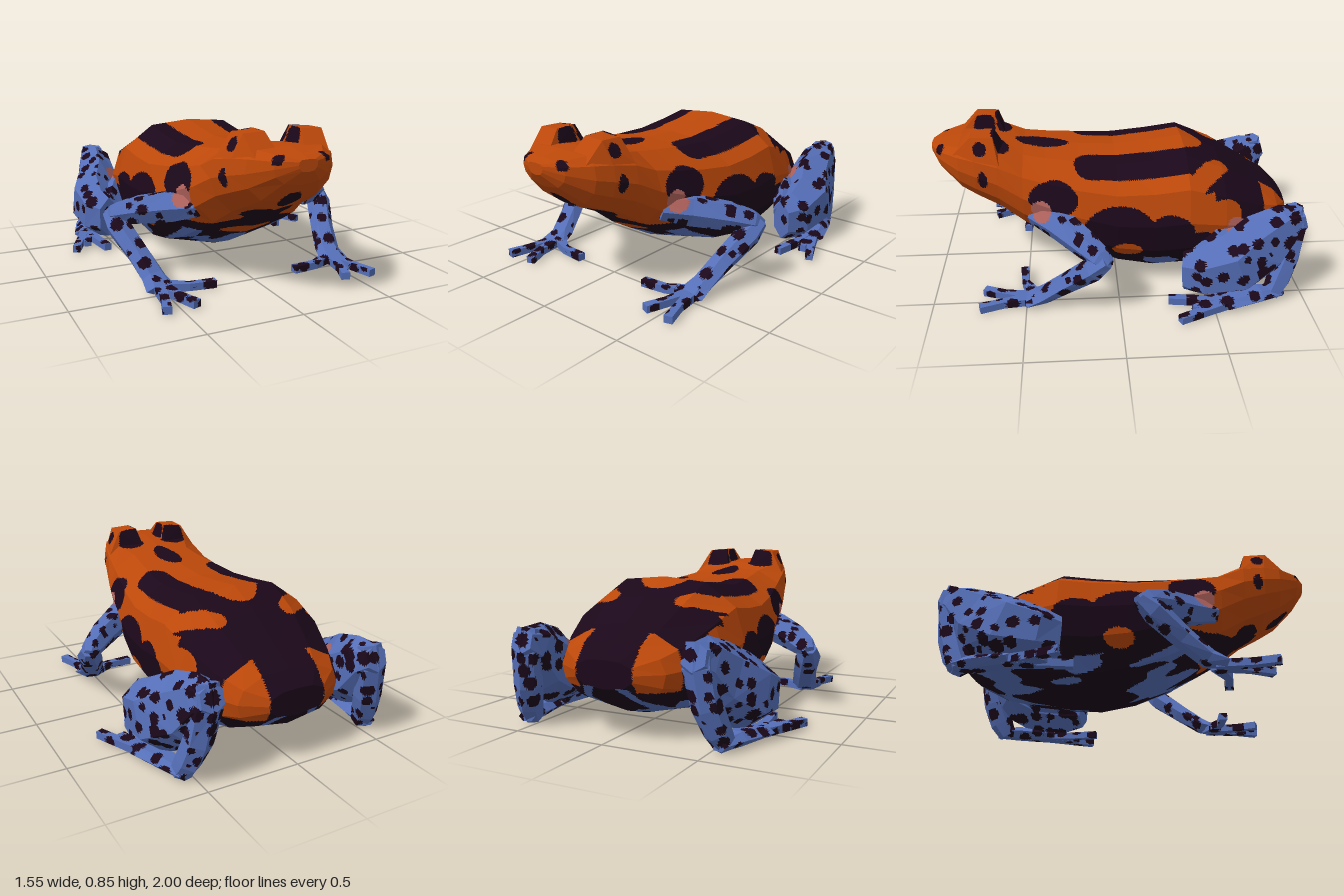
import * as THREE from 'three';
import { ConvexGeometry } from 'three/addons/geometries/ConvexGeometry.js';

const ORANGE = 0, DARK = 1, BLUE = 2, PINK = 3;
const V = (x, y, z) => new THREE.Vector3(x, y, z);

function makeMaterials() {
  const list = { orange: 0xbc480a, darkPurple: 0x1b081a, blue: 0x556fb8, pink: 0xb0625c };
  return Object.entries(list).map(([name, hex]) => {
    const m = new THREE.MeshStandardMaterial({ color: hex });
    m.name = name;
    return m;
  });
}

// Triangles joining closed rings of equal size, with both ends capped
function loft(rings) {
  const tris = [], n = rings[0].length;
  for (let i = 0; i < rings.length - 1; i++) {
    for (let j = 0; j < n; j++) {
      const k = (j + 1) % n, a = rings[i], b = rings[i + 1];
      tris.push([a[j], a[k], b[k]], [a[j], b[k], b[j]]);
    }
  }
  const centre = (r) => r.reduce((s, p) => s.add(p), V(0, 0, 0)).divideScalar(n);
  const first = rings[0], last = rings[rings.length - 1], c0 = centre(first), c1 = centre(last);
  for (let j = 0; j < n; j++) {
    const k = (j + 1) % n;
    tris.push([c0, first[k], first[j]], [c1, last[j], last[k]]);
  }
  return tris;
}

// Limb along [x, y, z, radius along ref, radius across]
function limb(path, ref, sides = 6) {
  const pts = path.map((p) => V(p[0], p[1], p[2]));
  return loft(pts.map((p, i) => {
    const t = pts[Math.min(i + 1, pts.length - 1)].clone().sub(pts[Math.max(i - 1, 0)]).normalize();
    const a = ref.clone().addScaledVector(t, -ref.dot(t)).normalize();
    const b = t.clone().cross(a);
    return Array.from({ length: sides }, (_, j) => {
      const ang = ((j + 0.5) / sides) * Math.PI * 2;
      return p.clone().addScaledVector(a, Math.cos(ang) * path[i][3]).addScaledVector(b, Math.sin(ang) * path[i][4]);
    });
  }));
}

const mirror = (tris) => tris.map((t) => [t[0], t[2], t[1]].map((p) => V(-p.x, p.y, p.z)));

// Split each flat facet finely and sort the pieces into one group per colour
function paint(tris, colourAt, step) {
  const bins = [[], [], [], []];
  for (const [A, B, C] of tris) {
    const longest = Math.max(A.distanceTo(B), B.distanceTo(C), C.distanceTo(A));
    const n = Math.max(1, Math.ceil(longest / step));
    const at = (i, j) => A.clone().multiplyScalar(n - i - j).addScaledVector(B, i).addScaledVector(C, j).divideScalar(n);
    const emit = (p, q, r) => {
      const c = p.clone().add(q).add(r).divideScalar(3);
      for (const v of [p, q, r]) bins[colourAt(c.x, c.y, c.z)].push(v.x, v.y, v.z);
    };
    for (let i = 0; i < n; i++) {
      for (let j = 0; j < n - i; j++) {
        emit(at(i, j), at(i + 1, j), at(i, j + 1));
        if (i + j < n - 1) emit(at(i + 1, j), at(i + 1, j + 1), at(i, j + 1));
      }
    }
  }
  const geo = new THREE.BufferGeometry();
  geo.setAttribute('position', new THREE.Float32BufferAttribute(bins.flat(), 3));
  let start = 0;
  bins.forEach((b, m) => {
    if (b.length) geo.addGroup(start, b.length / 3, m);
    start += b.length / 3;
  });
  geo.computeVertexNormals();
  return geo;
}

const inOval = (u, v, cu, cv, ru, rv) => ((u - cu) / ru) ** 2 + ((v - cv) / rv) ** 2 < 1;
const nearLine = (u, v, u0, v0, u1, v1, r) => {
  const du = u1 - u0, dv = v1 - v0;
  const t = Math.min(1, Math.max(0, ((u - u0) * du + (v - v0) * dv) / (du * du + dv * dv)));
  return Math.hypot(u - u0 - t * du, v - v0 - t * dv) < r;
};
// Pale joints at shoulder and hip
const atJoint = (x, y, z) => Math.hypot(Math.abs(x) - 0.38, y - 0.48, z - 0.41) < 0.06
  || Math.hypot(Math.abs(x) - 0.42, y - 0.37, z + 0.64) < 0.06;

// Markings of body and head
function bodyColour(x, y, z) {
  const ax = Math.abs(x);
  if (z > 0.55) {
    const spot = (ax > 0.18 && (inOval(z, y, 0.72, 0.79, 0.035, 0.035) || inOval(z, y, 0.71, 0.63, 0.024, 0.05)))
      || (y > 0.725 && inOval(ax, z, 0.125, 0.945, 0.034, 0.022))
      || (y > 0.7 && inOval(ax, z, 0.145, 0.62, 0.08, 0.045))
      || (y > 0.765 && inOval(ax, z, 0.08, 0.72, 0.025, 0.06))
      || (y < 0.6 && inOval(ax, y, 0, 0.525, 0.055, 0.05))
      || (y < 0.45 && inOval(ax, y, 0.07, 0.42, 0.075, 0.035))
      || (y < 0.43 && ax < 0.11) || (y < 0.37 && ax < 0.11 + (0.37 - y) * 4);
    return spot ? DARK : ORANGE;
  }
  if (atJoint(x, y, z)) return PINK;
  if (inOval(z, y, -0.05, 0.25, 0.08, 0.05)) return ORANGE;
  // rump patches
  if (ax > 0.155 && z < -0.81 && y > 0.25) return ORANGE;
  // chest, mottled belly and lower flank
  if (z > 0.2 && inOval(ax, y, 0, 0.27, 0.15, 0.035)) return ORANGE;
  if (y < 0.27 && z < 0.42) {
    const n = Math.sin(17 * ax + 3 * z + 1) + Math.sin(15 * z - 5 * y) + 0.6 * Math.sin(29 * ax - 19 * z)
      + 0.6 * Math.sin(47 * ax + 38 * y);
    return y > 0.07 && ax < (z > 0 ? 0.31 : 0.37) && n > (z > 0 ? -0.2 : 0.2) ? BLUE : DARK;
  }
  if (z > 0.2 && y < 0.4) return y < 0.33 || (y < 0.37 && ax < 0.11 + (0.37 - y) * 4) ? DARK : ORANGE;
  // flank lobes and shoulder patch
  if (ax > 0.3 && inOval(z, y, -0.56, 0.43, 0.11, 0.1)) return ORANGE;
  if (y < 0.36 || (y < 0.56 && (inOval(z, y, -0.01, 0.36, 0.2, 0.16) || inOval(z, y, -0.28, 0.36, 0.13, 0.11)))) return DARK;
  if (ax > 0.25 && inOval(z, y, 0.34, 0.545, 0.13, 0.09)) return DARK;
  // crown spot and back stripes
  if (y > 0.6 && inOval(ax, z, 0, 0.4, 0.066, 0.145)) return DARK;
  if (nearLine(ax, z, 0.43, -0.37, 0.21, -0.57, 0.045)) return ORANGE;
  if (y > 0.57 && nearLine(ax, z, 0.24, -0.36, 0.225, 0.14, 0.092 - 0.03 * Math.max(0, z))) return DARK;
  if (ax < 0.14) return z < -0.5 + ax * ax * 6 ? DARK : ORANGE;
  if (ax < 0.33) return z < -0.38 ? DARK : ORANGE;
  return z < (y < 0.57 ? -0.52 : -0.45) ? DARK : ORANGE;
}

// Scattered round spots on the legs, one jittered spot per cell
const hash = (a, b, c, s) => {
  const h = Math.sin(a * 127.1 + b * 311.7 + c * 74.7 + s * 53.3) * 43758.5453;
  return h - Math.floor(h);
};
function legColour(x, y, z) {
  if (atJoint(x, y, z)) return PINK;
  const cell = 0.085, g = [x, y, z].map((v) => Math.floor(v / cell));
  for (let i = -1; i < 2; i++) for (let j = -1; j < 2; j++) for (let k = -1; k < 2; k++) {
    const a = g[0] + i, b = g[1] + j, c = g[2] + k;
    const p = [a, b, c].map((v, s) => (v + 0.2 + 0.6 * hash(a, b, c, s)) * cell);
    if (Math.hypot(x - p[0], y - p[1], z - p[2]) < 0.029 + 0.011 * hash(a, b, c, 3)) return DARK;
  }
  return BLUE;
}

// Body stations from rump to snout: z, top, bottom, half width
const STATIONS = [
  [-0.975, 0.40, 0.26, 0.165], [-0.9, 0.47, 0.18, 0.29], [-0.77, 0.545, 0.11, 0.37], [-0.58, 0.66, 0.055, 0.435],
  [-0.38, 0.745, 0.02, 0.46], [-0.2, 0.72, 0.012, 0.458], [0, 0.70, 0.055, 0.45], [0.2, 0.71, 0.13, 0.415],
  [0.38, 0.725, 0.23, 0.375], [0.5, 0.74, 0.30, 0.35], [0.63, 0.77, 0.40, 0.315], [0.75, 0.785, 0.46, 0.28],
  [0.84, 0.785, 0.51, 0.24], [0.95, 0.765, 0.62, 0.15], [1.0, 0.75, 0.69, 0.05],
];
// Half cross-sections, bottom to top: round trunk, boxier head
const TRUNK = [[0, 0], [0.68, 0.11], [0.94, 0.33], [1, 0.56], [0.89, 0.8], [0.52, 0.97], [0, 1]];
const HEAD = [[0, 0], [0.64, 0.09], [0.92, 0.33], [1, 0.58], [0.95, 0.83], [0.72, 0.97], [0, 1]];

export function createModel() {
  const frog = new THREE.Group();
  frog.name = 'frog';
  const materials = makeMaterials();
  const add = (name, tris, colour, step) => {
    const mesh = new THREE.Mesh(paint(tris, colour, step), materials);
    mesh.name = name;
    frog.add(mesh);
  };
  const addPair = (name, tris, colour = legColour, step = 0.02) => {
    add(name + 'Left', tris, colour, step);
    add(name + 'Right', mirror(tris), colour, step);
  };

  // body and head
  add('body', loft(STATIONS.map(([z, top, bottom, w]) => {
    const half = z > 0.55 ? HEAD : TRUNK;
    const outline = [...half, ...half.slice(1, -1).reverse().map(([u, v]) => [-u, v])];
    return outline.map(([u, v]) => V(u * w, bottom + v * (top - bottom), z));
  })), bodyColour, 0.0165);

  // raised eye ridges
  const hull = new ConvexGeometry([
    V(0.1, 0.85, 0.77), V(0.215, 0.845, 0.77), V(0.1, 0.85, 0.65), V(0.215, 0.84, 0.65), V(0.07, 0.75, 0.86),
    V(0.2, 0.74, 0.87), V(0.268, 0.72, 0.75), V(0.292, 0.71, 0.62), V(0.07, 0.74, 0.6),
  ]).getAttribute('position');
  const eye = [];
  for (let i = 0; i < hull.count; i += 3) eye.push([0, 1, 2].map((k) => new THREE.Vector3().fromBufferAttribute(hull, i + k)));
  addPair('eyeRidge', eye, bodyColour, 0.014);

  const X = V(1, 0, 0), Y = V(0, 1, 0);
  // front legs
  addPair('upperArm', limb([[0.29, 0.43, 0.45, 0.06, 0.06], [0.38, 0.405, 0.31, 0.088, 0.085], [0.54, 0.37, 0.18, 0.08, 0.07],
    [0.63, 0.34, 0.1, 0.06, 0.06], [0.66, 0.32, 0.06, 0.035, 0.035]], Y));
  addPair('forearm', limb([[0.655, 0.34, 0.07, 0.04, 0.045], [0.63, 0.28, 0.14, 0.065, 0.07], [0.57, 0.16, 0.28, 0.055, 0.065],
    [0.53, 0.065, 0.4, 0.045, 0.07], [0.52, 0.03, 0.49, 0.026, 0.085]], Y));
  for (const [x, z] of [[0.59, 0.745], [0.43, 0.73], [0.235, 0.52]]) {
    addPair('finger', limb([[0.52, 0.032, 0.44, 0.03, 0.05], [(0.52 + x) / 2, 0.03, 0.03 + (0.44 + z) / 2, 0.028, 0.028],
      [x, 0.028, z, 0.028, 0.033]], Y, 4));
  }

  // hind legs: folded thigh and shank, then the drop to the heel
  addPair('thigh', limb([[0.32, 0.31, -0.68, 0.09, 0.12], [0.45, 0.25, -0.56, 0.09, 0.13], [0.53, 0.19, -0.38, 0.06, 0.1]], X));
  addPair('shank', limb([[0.54, 0.19, -0.34, 0.07, 0.12], [0.565, 0.195, -0.43, 0.115, 0.15], [0.555, 0.23, -0.6, 0.148, 0.188],
    [0.495, 0.32, -0.77, 0.128, 0.19], [0.47, 0.43, -0.9, 0.1, 0.118], [0.47, 0.455, -0.98, 0.068, 0.07]], X));
  addPair('ankle', limb([[0.47, 0.51, -0.92, 0.065, 0.05], [0.475, 0.4, -0.945, 0.08, 0.055], [0.5, 0.22, -0.905, 0.075, 0.07],
    [0.53, 0.1, -0.86, 0.065, 0.07], [0.55, 0.025, -0.82, 0.055, 0.05]], X));
  addPair('foot', limb([[0.54, 0.04, -0.88, 0.03, 0.045], [0.57, 0.045, -0.75, 0.04, 0.07], [0.62, 0.035, -0.55, 0.03, 0.08]], Y));
  for (const [x, z] of [[0.755, -0.3], [0.665, -0.38], [0.575, -0.26]]) {
    addPair('toe', limb([[0.61, 0.035, -0.62, 0.032, 0.045], [(0.62 + x) / 2, 0.03, (z - 0.6) / 2, 0.028, 0.032],
      [x, 0.03, z, 0.028, 0.03]], Y, 4));
  }
  return frog;
}
